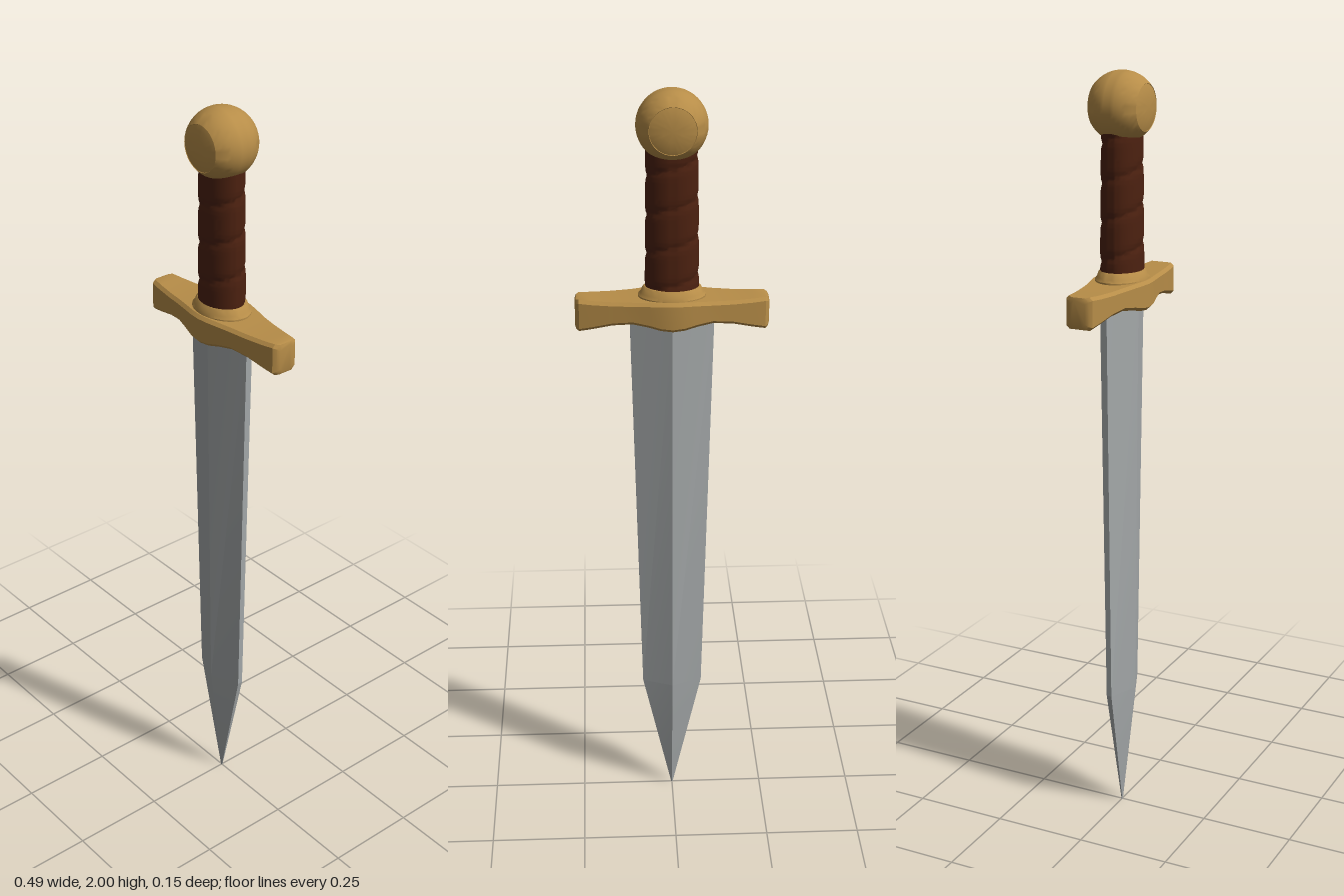
import * as THREE from 'three';
import { toCreasedNormals } from 'three/addons/utils/BufferGeometryUtils.js';

const mat = (name, color) => Object.assign(new THREE.MeshStandardMaterial({ color }), { name });

// Skins a list of equal-length rings, counterclockwise about the direction of travel, with end caps.
function loft(rings, crease) {
  const n = rings[0].length, last = rings.length - 1, index = [];
  for (let i = 0; i < last; i++) {
    for (let j = 0; j < n; j++) {
      const k = (j + 1) % n, a = i * n + j, b = i * n + k;
      index.push(a, b, b + n, a, b + n, a + n);
    }
  }
  for (let j = 1; j < n - 1; j++) {
    index.push(0, j + 1, j, last * n, last * n + j, last * n + j + 1);
  }
  const g = new THREE.BufferGeometry();
  g.setAttribute('position', new THREE.Float32BufferAttribute(rings.flat(2), 3));
  g.setIndex(index);
  return toCreasedNormals(g, crease);
}

// Ridged diamond blade with a narrow blunt edge: height, half width, half depth, half edge.
function bladeGeometry() {
  const sections = [
    [0, 0.002, 0.002, 0.001],
    [0.35, 0.08, 0.039, 0.007],
    [1.44, 0.107, 0.046, 0.009],
  ];
  return loft(sections.map(([y, w, d, e]) => [
    [0, y, d], [w, y, e], [w, y, -e], [0, y, -d], [-w, y, -e], [-w, y, e],
  ]), 0.1);
}

// Bevelled crossguard: distance from centre, bottom, top, half depth, bevel.
function guardGeometry() {
  const half = [
    [0, 1.407, 1.483, 0.076, 0.008],
    [0.03, 1.41, 1.483, 0.0735, 0.008],
    [0.06, 1.417, 1.482, 0.067, 0.008],
    [0.1, 1.423, 1.48, 0.058, 0.008],
    [0.15, 1.418, 1.479, 0.05, 0.008],
    [0.2, 1.406, 1.48, 0.042, 0.008],
    [0.233, 1.399, 1.482, 0.036, 0.008],
    [0.24, 1.401, 1.48, 0.028, 0.009],
    [0.243, 1.407, 1.474, 0.02, 0.009],
  ];
  const mirrored = half.slice(1).reverse().map(([x, ...rest]) => [-x, ...rest]);
  return loft([...mirrored, ...half].map(([x, y0, y1, z, c]) => [
    [x, y1, c - z], [x, y1, z - c], [x, y1 - c, z], [x, y0 + c, z],
    [x, y0, z - c], [x, y0, c - z], [x, y0 + c, -z], [x, y1 - c, -z],
  ]), 0.5);
}

// Oval grip whose leather wrap overlaps in a rising spiral.
function gripGeometry() {
  const bottom = 1.49, height = 0.385, pitch = 0.098;
  const g = new THREE.CylinderGeometry(1, 1, height, 48, 72, true);
  g.translate(0, bottom + height / 2, 0);
  const p = g.attributes.position;
  for (let i = 0; i < p.count; i++) {
    const x = p.getX(i), y = p.getY(i), z = p.getZ(i);
    const turn = y / pitch - Math.atan2(x, z) / (2 * Math.PI);
    const phase = turn - Math.floor(turn);
    const groove = 0.005 * Math.pow(Math.abs(2 * phase - 1), 6);
    const taper = 0.004 * (y - bottom) / height;
    p.setXYZ(i, x * (0.068 - taper - groove), y, z * (0.053 - taper - groove));
  }
  return toCreasedNormals(g, 0.8);
}

// Ball pommel, turned about z, with a shallow domed disc on the front and back.
function pommelGeometry() {
  const R = 0.088, cut = 0.72, profile = [];
  profile.push([0, -0.073], [0.025, -0.072], [0.045, -0.069], [0.057, -0.065]);
  for (let i = 0; i <= 16; i++) {
    const a = -Math.PI / 2 + cut + (i / 16) * (Math.PI - 2 * cut);
    profile.push([R * Math.cos(a), R * Math.sin(a)]);
  }
  profile.push([0.057, 0.065], [0.045, 0.069], [0.025, 0.072], [0, 0.073]);
  const g = new THREE.LatheGeometry(profile.map(([r, z]) => new THREE.Vector2(r, z)), 48);
  g.rotateX(Math.PI / 2);
  return toCreasedNormals(g, 0.4);
}

// Stepped oval collar between guard and grip.
function collarGeometry() {
  const pts = [[0, 1.47], [0.085, 1.47], [0.085, 1.485], [0.079, 1.492], [0.074, 1.503], [0.069, 1.507], [0, 1.507]];
  const g = new THREE.LatheGeometry(pts.map(([r, y]) => new THREE.Vector2(r, y)), 40);
  g.scale(1, 1, 0.76);
  return toCreasedNormals(g, 0.6);
}

export function createModel() {
  const steel = mat('steel', 0xa6aaab);
  const brass = mat('brass', 0xb78d48);
  const leather = mat('leather', 0x4c2110);

  const group = new THREE.Group();
  group.name = 'dagger';
  const add = (name, geometry, material) => {
    const mesh = new THREE.Mesh(geometry, material);
    mesh.name = name;
    group.add(mesh);
    return mesh;
  };

  add('blade', bladeGeometry(), steel);
  add('crossguard', guardGeometry(), brass);
  add('collar', collarGeometry(), brass);
  add('grip', gripGeometry(), leather);
  add('pommel', pommelGeometry(), brass).position.y = 1.912;
  return group;
}
